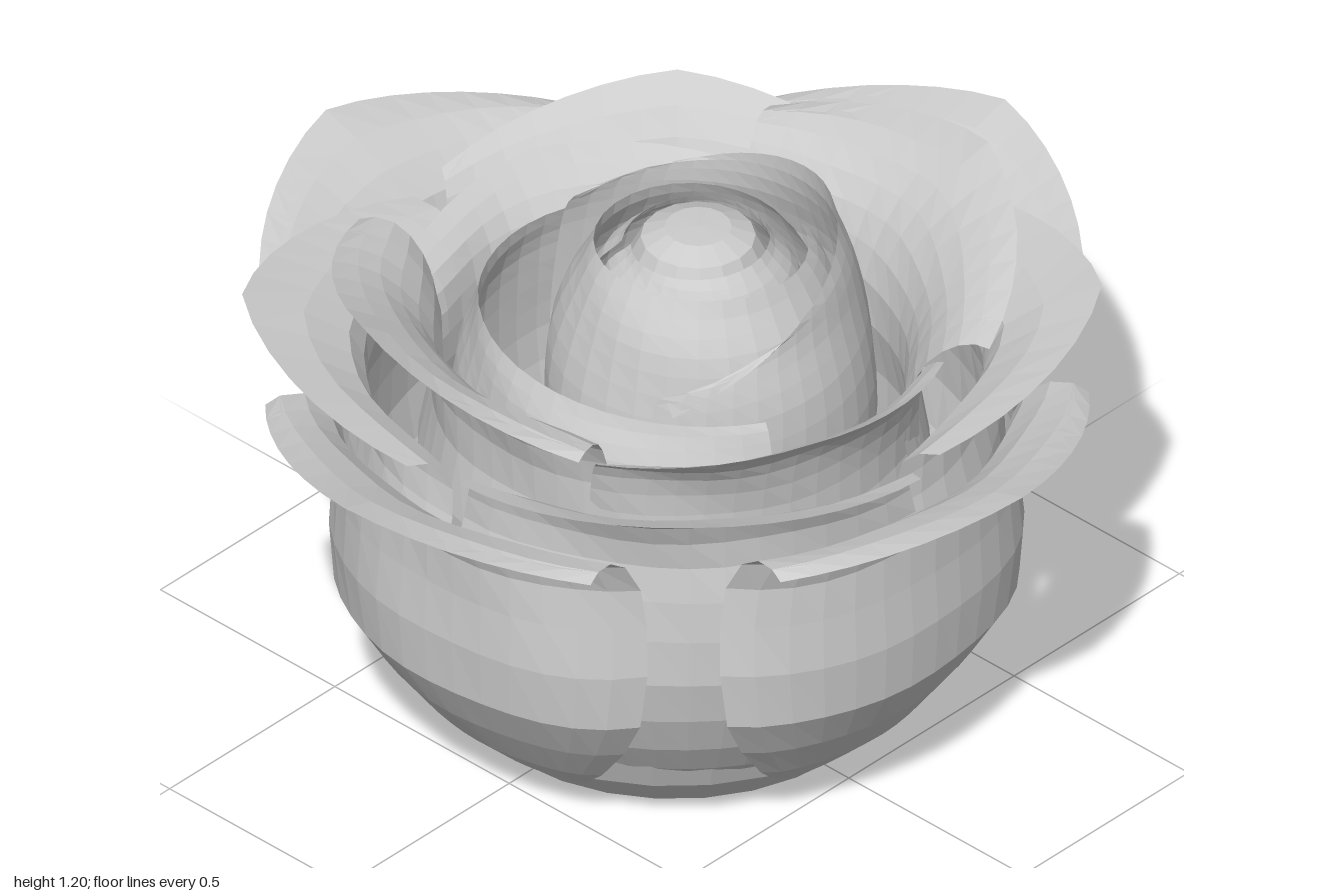
import * as THREE from 'three';
import { ParametricGeometry } from 'three/addons/geometries/ParametricGeometry.js';

const material = new THREE.MeshStandardMaterial({ color: 0xcccccc, flatShading: true, side: THREE.DoubleSide });

// A petal swept round the y axis. Each profile point is [radius, height, half angle in degrees].
// dropR and dropY pull the rim's corners in and down; tuck draws the side edges inwards;
// spiral makes the radius grow from one side edge to the other.
function petal(name, heading, profile, { dropR = 0, dropY = 0, tuck = 0, spiral = 0, thick = 0.03, cols = 14, rows = 11, power = 1.15 } = {}) {
  const curve = new THREE.CatmullRomCurve3(profile.map(([r, y, half]) => new THREE.Vector3(r, y, half / 90)), false, 'centripetal');
  const p = new THREE.Vector3();
  const geometry = new ParametricGeometry((u, v, target) => {
    const s = 2 * u - 1;
    const t = v <= 0.5 ? 2 * v : 2 - 2 * v; // outer face up, inner face back down
    curve.getPoint(t, p);
    const edge = Math.abs(s);
    const corner = edge ** power * t ** 5;
    const inset = v > 0.5 ? thick * (1 - t ** 6) * (1 - edge ** 6) : 0;
    const ripple = 0.008 * Math.sin(7 * s + 9 * t + heading) * t * (1 - t ** 8);
    const r = p.x - dropR * corner - tuck * edge ** 5 * Math.sin(Math.PI * t) + spiral * s - inset + ripple;
    const a = THREE.MathUtils.degToRad(heading + 90 * p.z * s);
    target.set(r * Math.sin(a), p.y - dropY * corner, r * Math.cos(a));
  }, cols, rows * 2);
  const mesh = new THREE.Mesh(geometry, material);
  mesh.name = name;
  return mesh;
}

function lathe(name, points, sides) {
  const mesh = new THREE.Mesh(new THREE.LatheGeometry(points.map((q) => new THREE.Vector2(...q)), sides), material);
  mesh.name = name;
  return mesh;
}

export function createModel() {
  const rose = new THREE.Group();
  rose.name = 'rose';

  // Flat-bottomed cup that holds the petals
  rose.add(lathe('baseCup', [[0, 0], [0.34, 0], [0.46, 0.03], [0.54, 0.12], [0.6, 0.26]], 28));

  // Four outer petals with flared, pointed rims
  const outer = [[0.43, 0.03, 16], [0.54, 0.1, 24], [0.66, 0.25, 33], [0.752, 0.41, 38], [0.757, 0.6, 39],
    [0.75, 0.74, 38], [0.8, 0.86, 35], [0.9, 0.93, 33], [1, 0.97, 32]];
  for (let i = 0; i < 4; i++) {
    rose.add(petal('outerPetal', i * 90, outer, { dropR: 0.12, dropY: 0.1, tuck: 0.035 }));
  }

  // Four petals filling the diagonals
  [[45, 0.89], [133, 0.79], [224, 0.9], [316, 0.84]].forEach(([heading, tip]) => {
    const profile = [[0.5, 0.1, 40], [0.62, 0.26, 44], [0.69, 0.45, 46], [0.69, 0.65, 46],
      [0.67, 0.8, 45], [0.71, 0.91, 43], [tip, 1, 41]];
    rose.add(petal('middlePetal', heading, profile, { dropR: tip - 0.73, dropY: 0.09, spiral: 0.015 }));
  });

  // Tall left and right petals, turned half round from each other, and lower ones between them
  const tall = [[0.4, 0.2, 45], [0.53, 0.5, 48], [0.5, 0.8, 48], [0.54, 0.95, 47], [0.62, 1.06, 47], [0.73, 1.15, 46]];
  const low = [[0.4, 0.2, 48], [0.52, 0.5, 50], [0.5, 0.75, 50], [0.53, 0.9, 48], [0.6, 0.99, 45]];
  for (const heading of [70, 250]) {
    rose.add(petal('innerPetal', heading, tall, { dropR: 0.05, dropY: 0.13, spiral: -0.015 }));
    rose.add(petal('lowInnerPetal', heading + 92, low, { dropR: 0.03, dropY: 0.05, spiral: 0.015 }));
  }

  // Bud: a low wrap at the back, a tall hood at the front and two cups round a small dome
  const wide = { cols: 28, thick: 0.02, power: 1.6 };
  rose.add(petal('budLowWrap', 230, [[0.38, 0.3, 110], [0.46, 0.65, 110], [0.45, 0.86, 110], [0.41, 1.0, 110]],
    { ...wide, dropY: 0.06, spiral: 0.015 }));
  rose.add(petal('budHood', 58, [[0.36, 0.3, 115], [0.42, 0.7, 115], [0.41, 0.92, 112], [0.375, 1.06, 110], [0.335, 1.195, 105]],
    { ...wide, dropY: 0.22, dropR: -0.07, spiral: -0.01 }));
  const bud = new THREE.Group();
  bud.name = 'bud';
  bud.position.set(0.04, 0, 0.03);
  bud.add(petal('budCup', 250, [[0.3, 0.4, 178], [0.32, 0.8, 178], [0.285, 1.0, 178], [0.22, 1.135, 178]],
    { ...wide, dropY: 0.03, spiral: 0.012 }));
  bud.add(petal('budCore', 40, [[0.24, 0.5, 178], [0.24, 0.9, 178], [0.2, 1.06, 178], [0.15, 1.135, 178]],
    { ...wide, dropY: 0.02, spiral: 0.01 }));
  bud.add(lathe('budHeart', [[0.18, 0.6], [0.17, 0.95], [0.15, 1.08], [0.12, 1.14], [0.07, 1.162], [0, 1.165]], 16));
  rose.add(bud);

  return rose;
}
